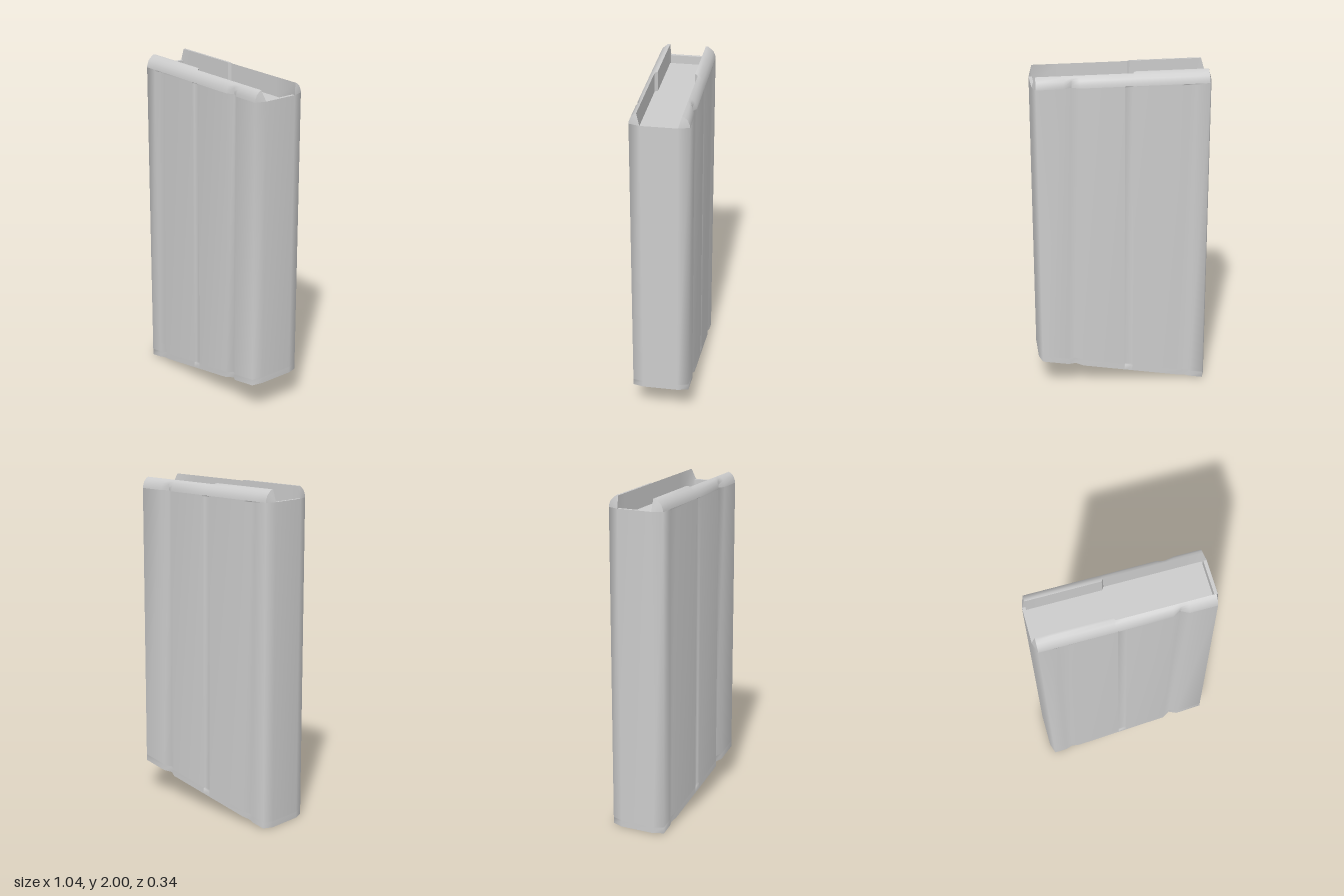
import * as THREE from 'three';
import { toCreasedNormals } from 'three/addons/utils/BufferGeometryUtils.js';

const RIM = 1.93; // where the straight walls end and the lips begin
const FLOOR = 1.88;
const material = new THREE.MeshStandardMaterial({ color: 0xcccccc, side: THREE.DoubleSide });

// Half outline of the casing: x, z, groove depth, kind (side grooves, centre slot)
const SIDE = [
  [-0.518, 0.105], [-0.498, 0.168], [-0.42, 0.168],
  [-0.38, 0.168, 0.009, 'shallow'], [-0.33, 0.168],
  [-0.06, 0.168], [-0.054, 0.168, 0.012, 'slot'], [-0.012, 0.168, 0.012, 'slot'], [-0.006, 0.168],
  [0.25, 0.168], [0.295, 0.168, 0.024, 'deep'], [0.34, 0.168],
  [0.498, 0.168], [0.518, 0.105],
];

const baseY = (x) => 0.103 + 0.19 * x; // slanted underside

// Grid surface through rows of points
function loft(rows, closed) {
  const n = rows[0].length;
  const index = [];
  for (let r = 0; r < rows.length - 1; r++) {
    for (let i = 0; i < (closed ? n : n - 1); i++) {
      const a = r * n + i, b = r * n + (i + 1) % n;
      index.push(a, b, b + n, a, b + n, a + n);
    }
  }
  const geometry = new THREE.BufferGeometry();
  geometry.setAttribute('position', new THREE.Float32BufferAttribute(rows.flat(2), 3));
  geometry.setIndex(index);
  geometry.computeVertexNormals();
  return geometry;
}

// Full loop of [x, z] with the named grooves pressed in
function outline(grooves) {
  const front = SIDE.map(([x, z, depth = 0, kind]) => [x, grooves.includes(kind) ? z - depth : z]);
  const back = front.map(([x, z]) => [x, -z]).reverse();
  return [...front, ...back];
}

function add(group, name, geometry) {
  const mesh = new THREE.Mesh(geometry, material);
  mesh.name = name;
  group.add(mesh);
  return mesh;
}

// Walls with the long grooves and the centre slot
function casingWalls() {
  const ring = (height, grooves) => outline(grooves).map(([x, z]) => [x, height(x), z]);
  return loft([
    ring(baseY, ['shallow', 'deep']),
    ring((x) => baseY(x) + 0.035, ['shallow', 'deep']),
    ring((x) => baseY(x) + 0.04, ['shallow', 'deep', 'slot']),
    ring(() => RIM - 0.008, ['shallow', 'deep', 'slot']),
    ring(() => RIM, ['deep']),
  ], true);
}

// Slanted plate closing the underside
function basePlate() {
  const points = outline(['shallow', 'deep']).map(([x, z]) => new THREE.Vector2(x, z));
  const geometry = new THREE.ShapeGeometry(new THREE.Shape(points));
  const p = geometry.attributes.position;
  for (let i = 0; i < p.count; i++) p.setXYZ(i, p.getX(i), baseY(p.getX(i)), p.getY(i));
  geometry.computeVertexNormals();
  return geometry;
}

// Curled lip along one long side; narrower opening on the -x half
function feedLip(s) {
  const columns = SIDE.map(([x, z, depth = 0, kind]) => [x, kind === 'deep' ? z - depth : z]);
  columns.splice(5, 0, [-0.072, 0.168]);
  const lip = columns.map(([x, outer]) => {
    const inner = Math.min(outer, x < -0.065 ? 0.108 : 0.125);
    const top = x < -0.065 ? 2.0 : 1.994;
    const end = Math.abs(x) > 0.51;
    const y = (v) => (end ? RIM : v);
    return [
      [outer, RIM], [Math.min(outer, 0.166), y(1.945)], [Math.min(outer, 0.156), y(1.97)],
      [Math.min(outer, 0.14), y(1.986)], [Math.max(inner, Math.min(outer, 0.122)), y(top)],
      [inner, y(top)], [inner, FLOOR - 0.01],
    ].map(([z, h]) => [x, h, s * z]);
  });
  if (s < 0) lip.reverse();
  const rows = lip[0].map((_, r) => lip.map((column) => column[r]));
  return toCreasedNormals(loft(rows, false), 0.9);
}

export function createModel() {
  const group = new THREE.Group();
  group.name = 'boxContainer';

  add(group, 'casingWalls', casingWalls());
  add(group, 'basePlate', basePlate());
  add(group, 'frontLip', feedLip(1));
  add(group, 'backLip', feedLip(-1));

  // Platform just below the opening
  add(group, 'innerPlatform', new THREE.BoxGeometry(0.996, 0.02, 0.25))
    .position.y = FLOOR - 0.01;

  // Thickness of the short walls at the rim
  for (const s of [-1, 1]) {
    add(group, s > 0 ? 'leftEndRim' : 'rightEndRim', new THREE.BoxGeometry(0.019, 0.07, 0.21))
      .position.set(s * 0.508, RIM - 0.035, 0);
  }
  return group;
}
